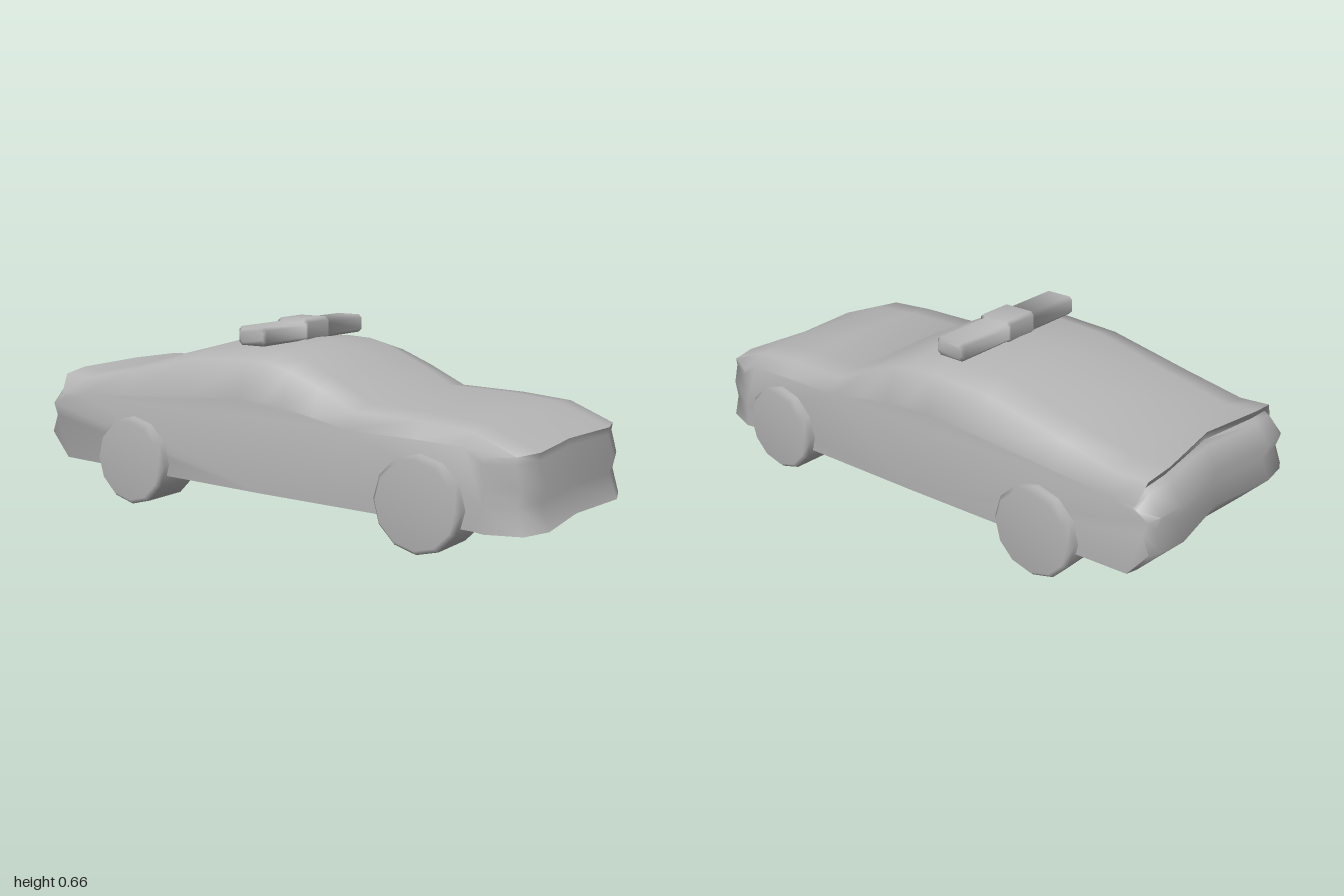
import * as THREE from 'three';
import { toCreasedNormals } from 'three/addons/utils/BufferGeometryUtils.js';

// Skin a row of matching counterclockwise (x, y) rings, placed at rising z, with both ends capped
function loft(rings) {
  const n = rings[0].points.length, pos = [], index = [];
  for (const { z, points } of rings) for (const [x, y] of points) pos.push(x, y, z);
  for (let j = 0; j < rings.length - 1; j++) {
    for (let i = 0; i < n; i++) {
      const k = (i + 1) % n;
      const a = j * n + i, b = j * n + k, c = b + n, d = a + n;
      index.push(a, b, c, a, c, d);
    }
  }
  const cap = (ring) => THREE.ShapeUtils.triangulateShape(ring.points.map(([x, y]) => new THREE.Vector2(x, y)), []);
  const last = (rings.length - 1) * n;
  for (const [a, b, c] of cap(rings[0])) index.push(a, c, b);
  for (const [a, b, c] of cap(rings[rings.length - 1])) index.push(last + a, last + b, last + c);
  const geometry = new THREE.BufferGeometry();
  geometry.setAttribute('position', new THREE.Float32BufferAttribute(pos, 3));
  geometry.setIndex(index);
  geometry.computeVertexNormals();
  return geometry;
}

// Side outline of the body: underside, nose, bonnet to boot, tail
const OUTLINE = [
  [-0.91, 0.13], [-0.5, 0.12], [0, 0.11], [0.5, 0.105], [0.84, 0.1], [1, 0.096],
  [0.97, 0.18], [0.985, 0.235], [0.96, 0.31], [0.965, 0.337],
  [0.78, 0.413], [0.6, 0.43], [0.36, 0.436], [0.22, 0.515], [0.1, 0.572], [0.02, 0.595], [-0.08, 0.6],
  [-0.3, 0.587], [-0.6, 0.508], [-0.82, 0.455], [-0.935, 0.462],
  [-0.92, 0.43], [-0.94, 0.415], [-0.99, 0.34], [-0.97, 0.285], [-1, 0.22],
];

// Each slice keeps a share of the nose and tail length, and lowers the top towards the shoulder
const SLICES = [
  { z: 0, nose: 0.85, tail: 0.78, drop: 0 },
  { z: 0.26, nose: 1, tail: 1, drop: 0.12 },
  { z: 0.36, nose: 0.82, tail: 0.93, drop: 0.28 },
  { z: 0.4, nose: 0.25, tail: 0.83, drop: 1 },
];

function bodyGeometry() {
  const ring = ({ z, nose, tail, drop }, side) => ({
    z: z * side,
    points: OUTLINE.map(([x, y]) => [
      x > 0.8 ? 0.8 + (x - 0.8) * nose : x < -0.8 ? -0.8 + (x + 0.8) * tail : x,
      y > 0.323 ? y - (y - 0.323) * 0.65 * drop : y,
    ]),
  });
  const rings = [
    ...SLICES.slice(1).reverse().map((s) => ring(s, -1)),
    ...SLICES.map((s) => ring(s, 1)),
  ];
  return toCreasedNormals(loft(rings), 1.25);
}

// Roof bar with a wider block in the middle
function roofBarGeometry() {
  const section = (z, x0, x1, y0, y1, inset = 0) => {
    const l = x0 + inset, r = x1 - inset, b = y0 + inset, t = y1 - inset, c = 0.012;
    return {
      z,
      points: [[l + c, b], [r - c, b], [r, b + c], [r, t - c], [r - c, t], [l + c, t], [l, t - c], [l, b + c]],
    };
  };
  const bar = (z, inset) => section(z, -0.158, -0.04, 0.59, 0.655, inset);
  const block = (z) => section(z, -0.164, -0.032, 0.588, 0.666);
  const geometry = loft([
    bar(-0.302, 0.01), bar(-0.292), bar(-0.064), block(-0.062),
    block(0.062), bar(0.064), bar(0.292), bar(0.302, 0.01),
  ]);
  // Soft shading from the bar into the block
  const normal = geometry.attributes.normal, v = new THREE.Vector3();
  for (const [start, side] of [[16, -1], [40, 1]]) {
    for (let i = start; i < start + 8; i++) {
      v.fromBufferAttribute(normal, i);
      v.z += side;
      v.normalize();
      normal.setXYZ(i, v.x, v.y, v.z);
    }
  }
  return geometry;
}

// Wheel around the y axis, open on its inner side, with a bevelled outer rim
function wheelGeometry() {
  const profile = [[0.158, -0.185], [0.158, -0.018], [0.142, 0], [0, 0]];
  return new THREE.LatheGeometry(profile.map(([r, y]) => new THREE.Vector2(r, y)), 12);
}

export function createModel() {
  const model = new THREE.Group();
  model.name = 'car';
  const grey = new THREE.MeshStandardMaterial({ color: 0xb4b4b4 });
  grey.name = 'grey';

  const add = (name, geometry) => {
    const mesh = new THREE.Mesh(geometry, grey);
    mesh.name = name;
    model.add(mesh);
    return mesh;
  };

  add('body', bodyGeometry());
  add('roofLightBar', roofBarGeometry());

  const wheel = wheelGeometry();
  for (const [end, x] of [['front', 0.63], ['rear', -0.552]]) {
    for (const [sideName, side] of [['Near', 1], ['Far', -1]]) {
      const mesh = add(`${end}Wheel${sideName}`, wheel);
      mesh.position.set(x, 0.16, side * 0.438);
      mesh.rotation.x = side * Math.PI / 2;
    }
  }
  return model;
}
